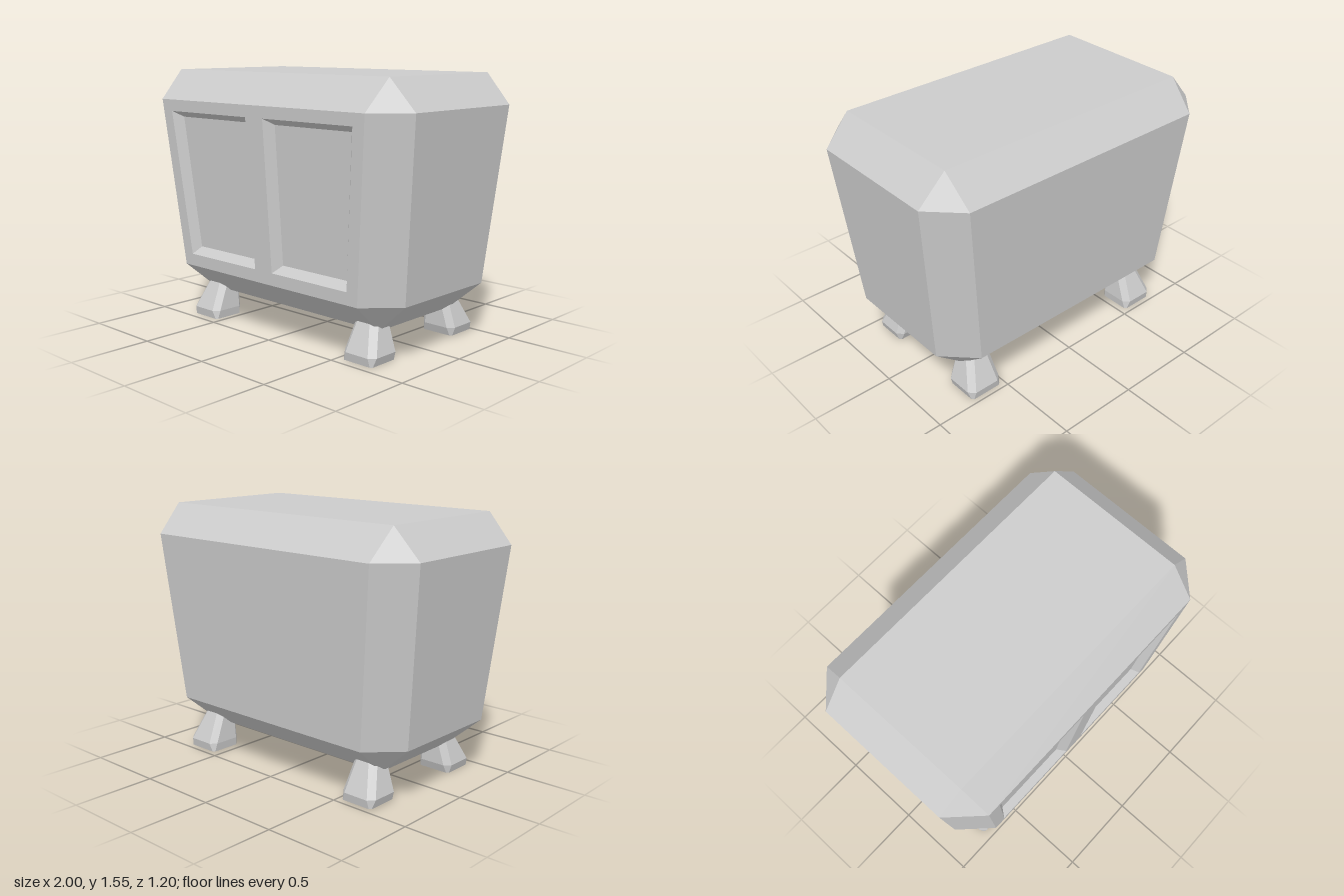
import * as THREE from 'three';

const material = new THREE.MeshStandardMaterial({ color: 0xcccccc, flatShading: true });

// Flat-shaded mesh from a list of polygons, each a counter-clockwise list of [x, y, z]
function polyMesh(name, polygons) {
  const positions = [];
  for (const p of polygons) {
    for (let i = 1; i < p.length - 1; i++) positions.push(...p[0], ...p[i], ...p[i + 1]);
  }
  const geometry = new THREE.BufferGeometry();
  geometry.setAttribute('position', new THREE.Float32BufferAttribute(positions, 3));
  geometry.computeVertexNormals();
  const mesh = new THREE.Mesh(geometry, material);
  mesh.name = name;
  return mesh;
}

// Rectangle with cut corners at height y; its first edge faces the front
function ring(y, hx, hz, cut, cx = 0, cz = 0) {
  const a = hx - cut, b = hz - cut;
  return [[-a, hz], [a, hz], [hx, b], [hx, -b], [a, -hz], [-a, -hz], [-hx, -b], [-hx, b]]
    .map(([x, z]) => [cx + x, y, cz + z]);
}

// Closed skin over rings listed bottom to top; openBand leaves out its front face
function loft(rings, openBand = -1) {
  const faces = [[...rings[0]].reverse(), rings[rings.length - 1]];
  for (let r = 0; r < rings.length - 1; r++) {
    const lo = rings[r], hi = rings[r + 1];
    lo.forEach((p, i) => {
      const j = (i + 1) % lo.length;
      if (!(r === openBand && i === 0)) faces.push([p, lo[j], hi[j], hi[i]]);
    });
  }
  return faces;
}

// Depth of the sloping front at height y
const frontZ = (y) => 0.53 + (y - 0.345) * 0.07 / 1.03;

export function createModel() {
  const model = new THREE.Group();

  // Tapered body with chamfered edges
  model.add(polyMesh('body', loft([
    ring(0.165, 0.69, 0.32, 0),
    ring(0.345, 0.895, 0.53, 0.18),
    ring(1.375, 1.0, 0.6, 0.18),
    ring(1.55, 0.84, 0.435, 0),
  ], 1)));

  // Front frame with two openings, and the recessed door panels behind them
  const outer = [[0.07, 0.42], [0.645, 0.42], [0.735, 1.305], [0.07, 1.305]];
  const inner = [[0.115, 0.465], [0.61, 0.465], [0.685, 1.27], [0.115, 1.27]];
  const toShape = (pts) => pts.map(([x, y]) => new THREE.Vector2(x, y));
  const frame = new THREE.Shape(toShape(
    [[-0.715, 0.345], [0.715, 0.345], [0.82, 1.375], [-0.82, 1.375]]));

  for (const side of [1, -1]) {
    const place = (pts, depth) => {
      const out = pts.map(([x, y]) => [side * x, y, frontZ(y) - depth]);
      return side < 0 ? out.reverse() : out;
    };
    const o = place(outer, 0), n = place(inner, 0.05);
    frame.holes.push(new THREE.Path(toShape(o)));
    const faces = [n];
    for (let i = 0; i < 4; i++) {
      const j = (i + 1) % 4;
      faces.push([o[i], o[j], n[j], n[i]]);
    }
    model.add(polyMesh(side > 0 ? 'leftDoorPanel' : 'rightDoorPanel', faces));
  }

  const frameGeometry = new THREE.ShapeGeometry(frame);
  const pos = frameGeometry.attributes.position;
  for (let i = 0; i < pos.count; i++) pos.setZ(i, frontZ(pos.getY(i)));
  frameGeometry.computeVertexNormals();
  const frontFrame = new THREE.Mesh(frameGeometry, material);
  frontFrame.name = 'frontFrame';
  model.add(frontFrame);

  // Splayed stubby feet, the rear pair set slightly further out and higher
  for (const sx of [1, -1]) {
    for (const sz of [1, -1]) {
      const dz = sz < 0 ? 0.03 : 0, dy = sz < 0 ? 0.008 : 0;
      const foot = (y, hx, hz, cut, cx, cz) =>
        ring(y + dy, hx, hz, cut, sx * cx, sz * (cz + dz));
      model.add(polyMesh((sz > 0 ? 'front' : 'back') + (sx > 0 ? 'Left' : 'Right') + 'Foot', loft([
        foot(0, 0.105, 0.1, 0.012, 0.64, 0.345),
        foot(0.05, 0.115, 0.114, 0.035, 0.645, 0.34),
        foot(0.27, 0.068, 0.063, 0.035, 0.62, 0.288),
      ])));
    }
  }
  return model;
}
